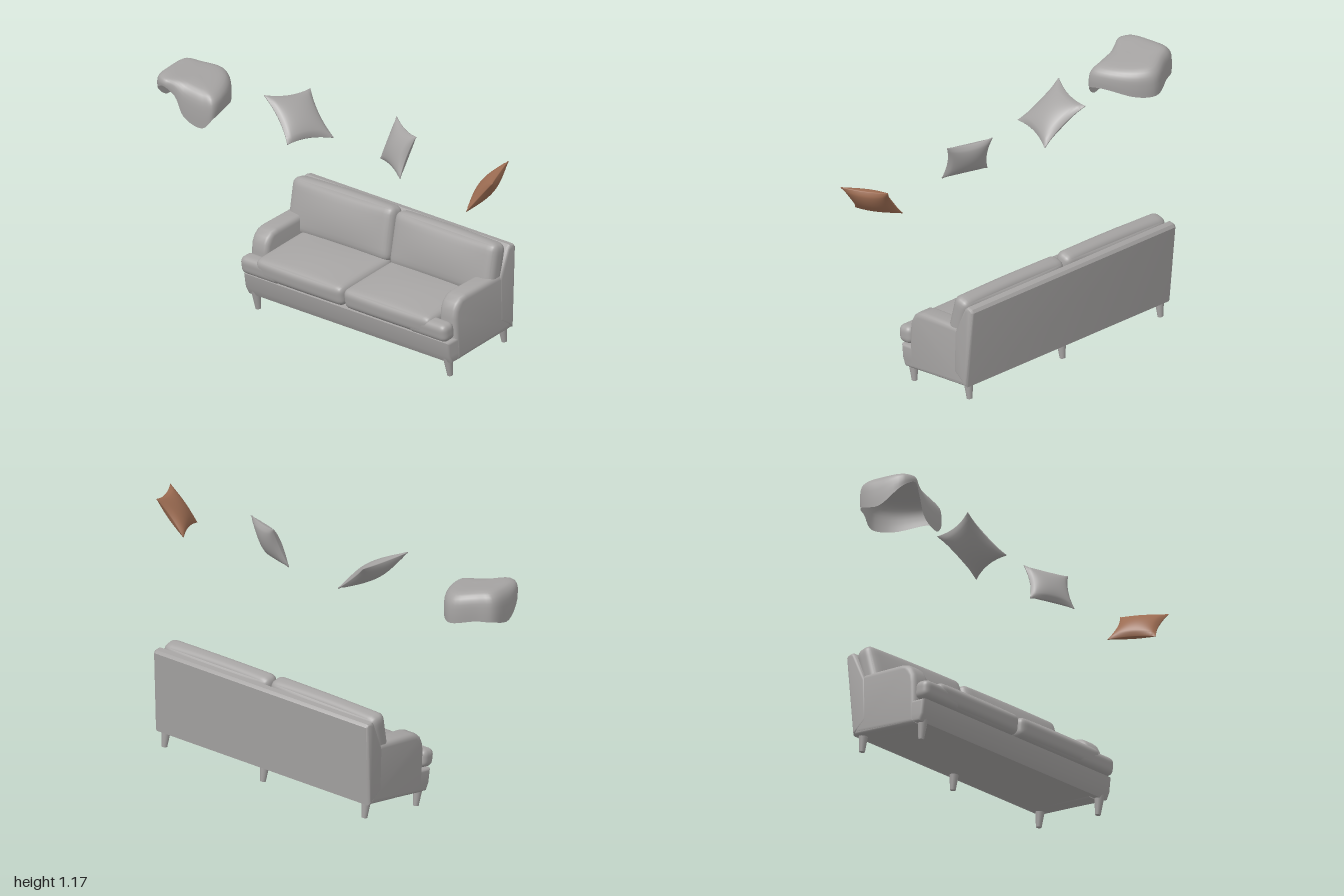
import * as THREE from 'three';
import { mergeVertices, toCreasedNormals } from 'three/addons/utils/BufferGeometryUtils.js';

const V = (x, y, z) => new THREE.Vector3(x, y, z);

// Box grid whose vertices are moved by a rule, then smoothed
function shapedBox(segments, rule) {
  let geo = new THREE.BoxGeometry(2, 2, 2, ...segments);
  geo.deleteAttribute('normal');
  geo.deleteAttribute('uv');
  const pos = geo.attributes.position;
  const p = V(0, 0, 0);
  for (let i = 0; i < pos.count; i++) {
    rule(p.fromBufferAttribute(pos, i));
    pos.setXYZ(i, p.x, p.y, p.z);
  }
  geo = mergeVertices(geo, 1e-5);
  geo.computeVertexNormals();
  return geo;
}

// Upholstered block: rounded edges of radius r, faces bulging outward
function softBox(w, h, d, r, bulge) {
  const half = V(w / 2, h / 2, d / 2);
  const inner = half.clone().subScalar(r);
  const low = inner.clone().negate();
  return shapedBox([22, 16, 18], (p) => {
    const s = V(...p.toArray().map((c) => Math.sin(c * Math.PI / 2)));
    const f = s.clone().multiply(s).negate().addScalar(1);
    p.copy(s).multiply(half);
    const core = p.clone().clamp(low, inner);
    p.sub(core).setLength(r).add(core);
    p.x += bulge[0] * s.x * f.y * f.z;
    p.y += bulge[1] * s.y * f.x * f.z;
    p.z += bulge[2] * s.z * f.x * f.y;
  });
}

// Side profile of [z, y] points extruded along x with soft edges
function sideExtrude(points, width, bevel) {
  const shape = new THREE.Shape(points.map(([z, y]) => new THREE.Vector2(-z, y)));
  const depth = width - 2 * bevel;
  const geo = new THREE.ExtrudeGeometry(shape, {
    depth, bevelSize: bevel, bevelThickness: bevel, bevelOffset: -bevel, bevelSegments: 4,
  });
  geo.translate(0, 0, -depth / 2).rotateY(Math.PI / 2);
  return toCreasedNormals(geo, 0.6);
}

// Pillow with pinched sides and thin seams; u and v are its full edge vectors
function pillowGeometry(u, v, thick) {
  const n = u.clone().cross(v).normalize();
  return shapedBox([18, 18, 2], (p) => {
    const { x, y, z } = p;
    const fx = 1 - x * x, fy = 1 - y * y;
    const a = x * (1 - 0.14 * fy) / 2, b = y * (1 - 0.14 * fx) / 2;
    const t = z * thick * (0.06 + 0.94 * Math.pow(fx * fy, 0.55)) / 2;
    p.set(0, 0, 0).addScaledVector(u, a).addScaledVector(v, b).addScaledVector(n, t);
  });
}

// Draped sheet: rings from the middle to a shoulder and down to an uneven hem
function throwGeometry() {
  const hem = [
    [-1, 1.0, 0.09], [-0.93, 1.0, 0.05], [-0.82, 0.98, 0.0], [-0.74, 0.98, 0.05],
    [-0.66, 1.0, 0.19], [-0.65, 0.98, 0.27], [-0.7, 0.925, 0.29], [-0.8, 0.955, 0.305],
    [-0.85, 1.05, 0.315], [-0.9, 1.09, 0.335], [-0.96, 1.06, 0.31], [-1, 0.98, 0.2],
  ].map((p) => V(...p));
  const top = (p) => 1.145 - 0.17 * (p.x + 0.97);
  const mid = V(-0.83, 0, 0.165);
  const ring = (k, drop) => hem.map((p) => {
    const q = mid.clone().lerp(p, k);
    q.y = THREE.MathUtils.lerp(top(q), p.y, drop);
    return q;
  });
  const rings = [ring(0, 0), ring(0.45, 0), ring(0.8, 0.06), ring(0.96, 0.28), ring(1, 0.65), ring(0.99, 1)]
    .map((pts) => new THREE.CatmullRomCurve3(pts, true));
  const rows = 15, cols = 60, pos = [], index = [];
  for (let j = 0; j <= cols; j++) {
    const path = new THREE.CatmullRomCurve3(rings.map((c) => c.getPoint((j % cols) / cols)));
    for (let i = 0; i <= rows; i++) pos.push(...path.getPoint(i / rows).toArray());
  }
  for (let j = 0; j < cols; j++) {
    for (let i = 0; i < rows; i++) {
      const a = j * (rows + 1) + i, b = a + rows + 1;
      index.push(a, a + 1, b, b, a + 1, b + 1);
    }
  }
  let geo = new THREE.BufferGeometry();
  geo.setAttribute('position', new THREE.Float32BufferAttribute(pos, 3));
  geo.setIndex(index);
  geo = mergeVertices(geo, 1e-5);
  geo.computeVertexNormals();
  return geo;
}

export function createModel() {
  const model = new THREE.Group();
  const grey = new THREE.MeshStandardMaterial({ color: 0xa5a3a2, side: THREE.DoubleSide });
  grey.name = 'grey fabric';
  const brown = new THREE.MeshStandardMaterial({ color: 0x9c6c52 });
  brown.name = 'brown fabric';

  const add = (parent, name, geo, mat, x = 0, y = 0, z = 0, tilt = 0) => {
    const mesh = new THREE.Mesh(geo, mat);
    mesh.name = name;
    mesh.position.set(x, y, z);
    mesh.rotation.x = tilt;
    parent.add(mesh);
    return mesh;
  };

  // Sofa, resting slightly tilted
  const sofa = new THREE.Group();
  sofa.name = 'sofa';
  sofa.position.x = 0.04;
  sofa.rotation.set(0, -0.01, 0.03);
  model.add(sofa);
  const pitch = 0.13;

  add(sofa, 'base', sideExtrude(
    [[0.1, 0.095], [0.118, 0.13], [0.128, 0.2], [-0.29, 0.25], [-0.3, 0.146]], 1.276, 0.014), grey);
  add(sofa, 'backFrame', sideExtrude(
    [[-0.305, 0.144], [-0.334, 0.535], [-0.324, 0.549], [-0.296, 0.553], [-0.28, 0.54],
      [-0.22, 0.4], [-0.22, 0.2]], 1.284, 0.016), grey);

  const armGeo = sideExtrude(
    [[0.07, 0.094], [0.076, 0.3], [0.071, 0.34], [0.055, 0.373], [0.03, 0.395], [-0.005, 0.405],
      [-0.22, 0.425], [-0.26, 0.42], [-0.3, 0.146]], 0.104, 0.024);
  const seatGeo = softBox(0.54, 0.1, 0.36, 0.032, [0, 0.016, 0.004]);
  const earGeo = softBox(0.24, 0.088, 0.08, 0.03, [0, 0, 0]);
  const backGeo = softBox(0.63, 0.26, 0.092, 0.036, [0, 0.006, 0.022]);
  const legGeo = new THREE.CylinderGeometry(0.024, 0.013, 0.1, 16);

  for (const [side, s] of [['left', 1], ['right', -1]]) {
    add(sofa, side + 'Arm', armGeo, grey, s * 0.588, 0, 0);
    add(sofa, side + 'SeatCushion', seatGeo, grey, s * 0.273, 0.277, -0.028, pitch);
    add(sofa, side + 'SeatCushionEar', earGeo, grey, s * 0.52, 0.25, 0.111, pitch);
    const back = add(sofa, side + 'BackCushion', backGeo, grey, s * 0.319, 0.445, -0.217, -0.22);
    if (s < 0) back.rotation.z = 0.018;
    add(sofa, side + 'FrontLeg', legGeo, grey, s * 0.598, 0.07, 0.08, pitch);
    add(sofa, side + 'RearLeg', legGeo, grey, s * 0.598, 0.12, -0.28, pitch);
  }
  add(sofa, 'middleRearLeg', legGeo, grey, 0.012, 0.12, -0.276, pitch);

  // Loose pillows: centre, edge vectors, thickness
  add(model, 'rightPillow',
    pillowGeometry(V(0.2, -0.165, 0.06), V(0.064, -0.025, -0.24), 0.075), grey, -0.265, 1.06, 0.115);
  add(model, 'leftPillow',
    pillowGeometry(V(0.203, -0.011, 0.088), V(0.036, 0.197, -0.07), 0.075), grey, 0.31, 1.067, 0.073);
  add(model, 'brownPillow',
    pillowGeometry(V(0.095, -0.015, 0.21), V(0.128, 0.166, -0.036), 0.075), brown, 0.886, 1.06, 0.102);

  // Draped throw
  add(model, 'throwBlanket', throwGeometry(), grey);
  return model;
}
